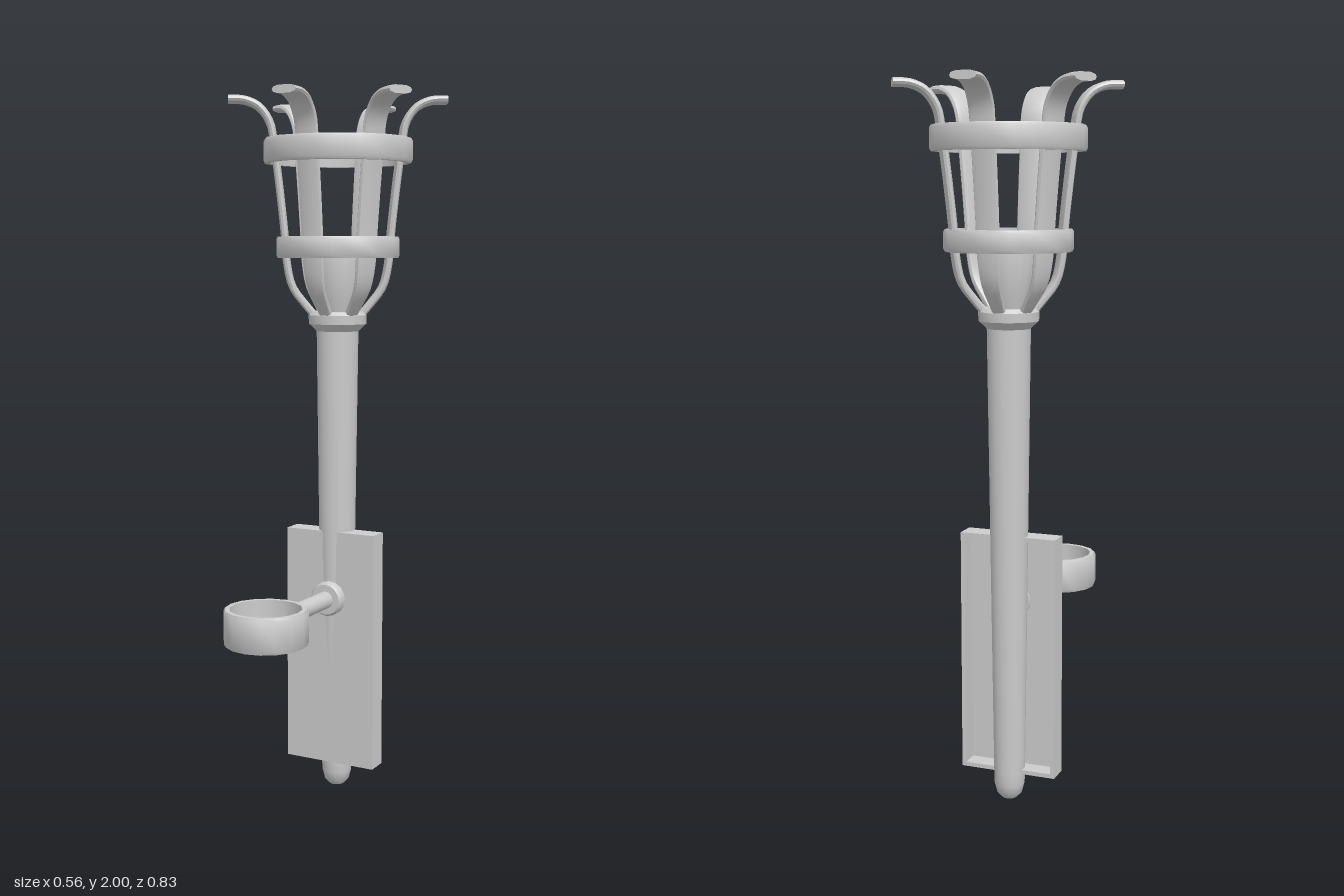
import * as THREE from 'three';
import { toCreasedNormals } from 'three/addons/utils/BufferGeometryUtils.js';

const AXIS_Z = -0.11; // centre line of the torch

export function createModel() {
  const root = new THREE.Group();
  const material = new THREE.MeshStandardMaterial({ color: 0xcccccc });

  function add(name, geometry, x = 0, y = 0, z = 0) {
    const mesh = new THREE.Mesh(toCreasedNormals(geometry, 0.75), material);
    mesh.name = name;
    mesh.position.set(x, y, z);
    root.add(mesh);
    return mesh;
  }
  const lathe = (points, sides = 16) =>
    new THREE.LatheGeometry(points.map(([r, y]) => new THREE.Vector2(r, y)), sides);

  // Closed band with slightly softened outer edges
  const band = (inner, outer, height) => {
    const h = height / 2, c = 0.004;
    return lathe([[inner, -h], [outer - c, -h], [outer, -h + c * 2], [outer, h - c * 2],
      [outer - c, h], [inner, h], [inner, -h]]);
  };

  // Tapered shaft with a rounded foot
  add('shaft', lathe([[0, 0], [0.022, 0.003], [0.036, 0.018], [0.043, 0.045],
    [0.044, 0.08], [0.06, 1.36], [0, 1.36]]), 0, 0, AXIS_Z);

  // Collar that holds the basket
  add('collar', lathe([[0.055, 1.34], [0.066, 1.35], [0.082, 1.365], [0.083, 1.39],
    [0.074, 1.4], [0, 1.4]]), 0, 0, AXIS_Z);

  // Dished cup inside the basket
  add('cup', lathe([[0.045, 1.39], [0.055, 1.43], [0.083, 1.56], [0.08, 1.57], [0.066, 1.57],
    [0.062, 1.555], [0.045, 1.54], [0.022, 1.53], [0, 1.527]]), 0, 0, AXIS_Z);

  // Basket hoops
  add('lowerHoop', band(0.157, 0.175, 0.06), 0, 1.58, AXIS_Z);
  add('upperHoop', band(0.191, 0.21, 0.068), 0, 1.847, AXIS_Z);

  // Six basket straps, flaring out at the top
  const strap = strapGeometry();
  for (let i = 0; i < 6; i++) {
    add('basketStrap' + (i + 1), strap, 0, 0, AXIS_Z).rotation.y = i * Math.PI / 3;
  }

  // Wall plate: thin front with a rim around an open back
  const front = -0.063, back = -0.125, wall = 0.012;
  const height = 0.69, midY = 0.425;
  const plate = (w, h, d) => new THREE.BoxGeometry(w, h, d);
  add('plateFront', plate(0.28, height, wall), 0, midY, front - wall / 2);
  const rimDepth = front - wall - back, rimZ = (front - wall + back) / 2;
  for (const s of [-1, 1]) {
    add(s > 0 ? 'plateLeftRim' : 'plateRightRim', plate(wall, height, rimDepth),
      s * (0.14 - wall / 2), midY, rimZ);
    add(s > 0 ? 'plateTopRim' : 'plateBottomRim', plate(0.28 - 2 * wall, wall, rimDepth),
      0, midY + s * (height - wall) / 2, rimZ);
  }

  // Bracket arm, its boss and the holding ring
  const armY = 0.575;
  add('bracketBoss', lathe([[0, -0.085], [0.05, -0.085], [0.05, -0.044], [0.044, -0.036],
    [0, -0.034]]).rotateX(Math.PI / 2), 0, armY, 0);
  add('bracketArm', new THREE.CylinderGeometry(0.025, 0.025, 0.235, 12).rotateX(Math.PI / 2),
    0, armY, 0.0775);
  add('bracketRing', band(0.098, 0.115, 0.098), 0, armY, 0.3);

  return root;
}

// Flattened bar swept along a path; each point holds half width, height, radius
function strapGeometry() {
  const path = new THREE.CatmullRomCurve3([
    [0.018, 1.385, 0.062], [0.021, 1.42, 0.092], [0.027, 1.47, 0.128], [0.032, 1.54, 0.144],
    [0.033, 1.62, 0.15], [0.035, 1.86, 0.178], [0.036, 1.925, 0.19], [0.036, 1.967, 0.22],
    [0.036, 1.985, 0.26], [0.036, 1.987, 0.305],
  ].map((p) => new THREE.Vector3(...p)));
  const steps = 28, thick = 0.011;
  // Flat bar section with bevelled sides (width, thickness)
  const section = [[1, 0], [0.9, 0.6], [0.5, 1], [-0.5, 1], [-0.9, 0.6],
    [-1, 0], [-0.9, -0.6], [-0.5, -1], [0.5, -1], [0.9, -0.6]];
  const n = section.length;
  const positions = [], index = [];
  for (let i = 0; i <= steps; i++) {
    const p = path.getPoint(i / steps), t = path.getTangent(i / steps);
    const len = Math.hypot(t.y, t.z);
    for (const [u, v] of section) {
      positions.push(u * p.x, p.y - v * thick * t.z / len, p.z + v * thick * t.y / len);
    }
  }
  for (let i = 0; i < steps; i++) {
    for (let j = 0; j < n; j++) {
      const a = i * n + j, b = i * n + (j + 1) % n;
      index.push(a, a + n, b, b, a + n, b + n);
    }
  }
  // End caps
  const last = steps * n;
  for (let j = 1; j < n - 1; j++) {
    index.push(0, j, j + 1, last, last + j + 1, last + j);
  }
  const geometry = new THREE.BufferGeometry();
  geometry.setAttribute('position', new THREE.Float32BufferAttribute(positions, 3));
  geometry.setIndex(index);
  return geometry;
}
